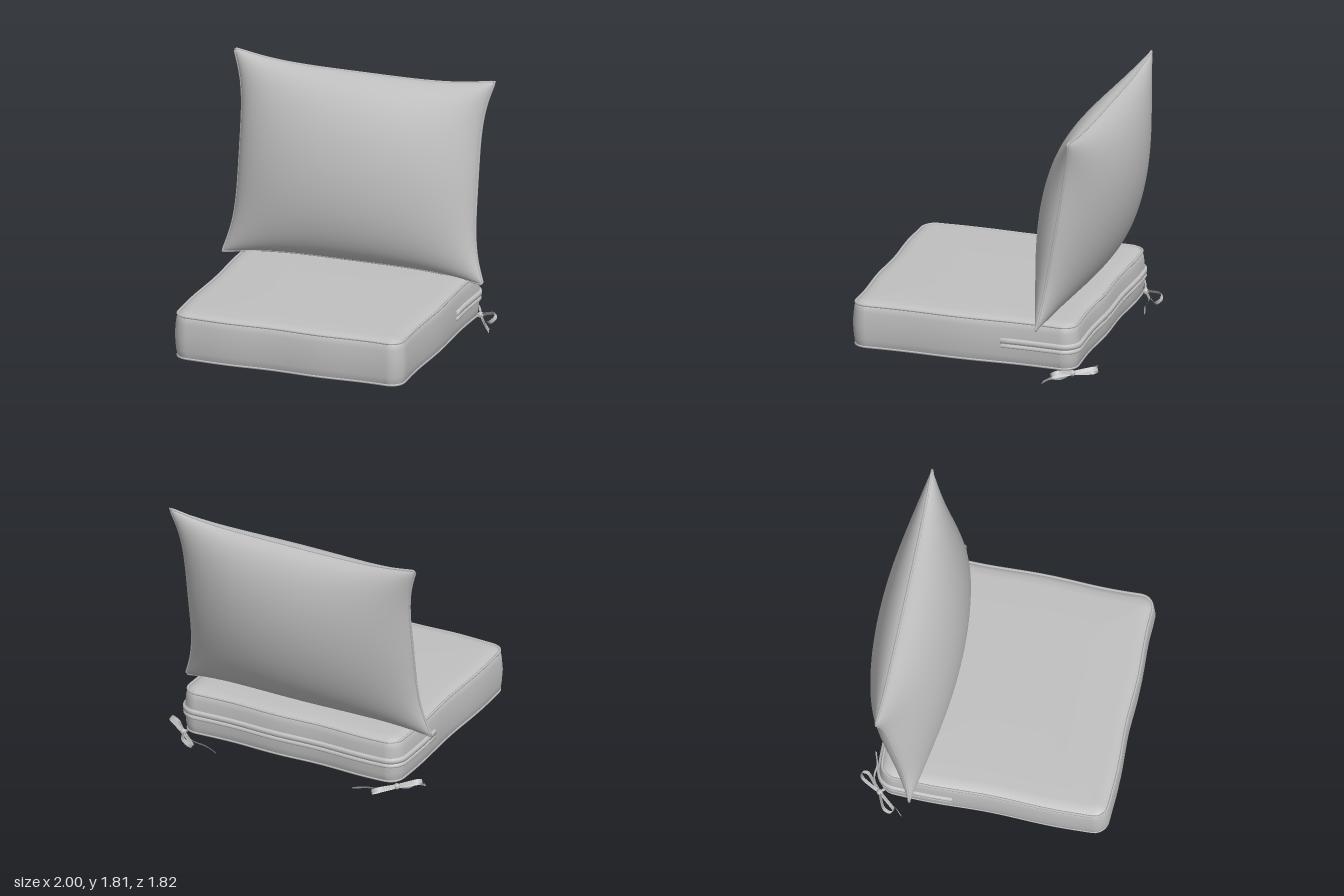
import * as THREE from 'three';
import { mergeVertices } from 'three/addons/utils/BufferGeometryUtils.js';

const fabric = new THREE.MeshStandardMaterial({ color: 0xc0c0c0, side: THREE.DoubleSide });
fabric.name = 'grey fabric';

function mesh(name, geometry) {
  const m = new THREE.Mesh(geometry, fabric);
  m.name = name;
  return m;
}

// Smooth surface from a grid of points fn(i, j)
function surface(nu, nv, fn) {
  const pos = [], index = [];
  for (let i = 0; i <= nu; i++) for (let j = 0; j <= nv; j++) pos.push(...fn(i, j));
  for (let i = 0; i < nu; i++) for (let j = 0; j < nv; j++) {
    const a = i * (nv + 1) + j, b = a + nv + 1;
    index.push(a, b, a + 1, b, b + 1, a + 1);
  }
  let g = new THREE.BufferGeometry();
  g.setAttribute('position', new THREE.Float32BufferAttribute(pos, 3));
  g.setIndex(index);
  g = mergeVertices(g, 1e-5);
  g.computeVertexNormals();
  return g;
}

function piping(name, points, radius) {
  const curve = new THREE.CatmullRomCurve3(points.map(p => new THREE.Vector3(...p)), true);
  return mesh(name, new THREE.TubeGeometry(curve, 240, radius, 6, true));
}

// Rounded seat outline: each entry is x, z and the outward normal
const HX = 0.855, HZ = 0.82, CZ = 0.095, R = 0.11;
function seatOutline() {
  const arcs = [[1, 1], [-1, 1], [-1, -1], [1, -1]].map(([sx, sz], k) => {
    const arc = [];
    for (let i = 0; i <= 10; i++) {
      const a = (k + i / 10) * Math.PI / 2, c = Math.cos(a), s = Math.sin(a);
      arc.push([sx * (HX - R) + R * c, sz * (HZ - R) + R * s, c, s]);
    }
    return arc;
  });
  const out = [];
  arcs.forEach((arc, k) => {
    out.push(...arc);
    const a = arc[10], b = arcs[(k + 1) % 4][0];
    for (let i = 1; i < 16; i++) {
      const t = i / 16;
      out.push([a[0] + (b[0] - a[0]) * t, a[1] + (b[1] - a[1]) * t, a[2], a[3]]);
    }
  });
  return out;
}
const outline = seatOutline();

// Point on the seat, pushed out from the outline, with a slight sewn waviness
function seatPoint([x, z, nx, nz], out, y, scale = 1) {
  const d = out + 0.006 * Math.sin(9 * x + 7 * z);
  return [(x + nx * d) * scale, y, CZ + (z + nz * d) * scale];
}

function createSeat() {
  const seat = new THREE.Group();
  seat.name = 'seatCushion';
  // scale, inset, height
  const profile = [
    [0, 0.1, 0.02], [0.35, 0.1, 0.022], [0.7, 0.1, 0.03], [0.9, 0.1, 0.042], [1, 0.1, 0.058],
    [1, 0.05, 0.07], [1, 0.02, 0.08], [1, 0.008, 0.092], [1, 0, 0.14], [1, -0.008, 0.24],
    [1, 0, 0.34], [1, 0.008, 0.38], [1, 0.025, 0.397], [1, 0.05, 0.408], [1, 0.1, 0.416],
    [0.6, 0.1, 0.42], [0, 0.1, 0.42],
  ];
  const n = outline.length;
  seat.add(mesh('seatBody', surface(profile.length - 1, n, (i, j) =>
    seatPoint(outline[j % n], -profile[i][1], profile[i][2], profile[i][0]))));
  seat.add(piping('topPiping', outline.map(p => seatPoint(p, -0.012, 0.391)), 0.009));
  seat.add(piping('bottomPiping', outline.map(p => seatPoint(p, -0.012, 0.083)), 0.009));

  // Zip flap wrapped around the back, with a groove between its two lips
  const end = -0.19 - CZ;
  const path = [[-HX, end, -1, 0], ...outline.filter(p => p[1] < end), [HX, end, 1, 0]];
  path.unshift(path[0]);
  path.push(path[path.length - 1]);
  const section = [
    [-0.01, 0.198], [0.016, 0.202], [0.02, 0.21], [0.016, 0.222], [0.007, 0.226], [0.007, 0.23],
    [0.02, 0.235], [0.022, 0.25], [0.02, 0.268], [-0.01, 0.275],
  ];
  seat.add(mesh('zipFlap', surface(section.length - 1, path.length - 1, (i, j) => {
    const capped = j === 0 || j === path.length - 1;
    return seatPoint(path[j], capped ? -0.01 : section[i][0], section[i][1]);
  })));
  return seat;
}

function createPillow() {
  const pillow = new THREE.Group();
  pillow.name = 'backPillow';
  // Edges pull inwards between the flared, rounded corners
  const point = (u, v, side) => {
    const k = 1 - 0.03 * Math.abs(u * v) ** 12;
    const x = u * k * (0.885 + 0.115 * v ** 4);
    const y = v * k * (0.665 + 0.08 * u ** 4);
    const puff = Math.max(0, (1 - u * u) * (1 - v * v)) ** 0.54;
    return [x, y, side * 0.288 * puff];
  };
  const N = 40;
  const ease = i => Math.sin((i / N - 0.5) * Math.PI);
  pillow.add(mesh('pillowFront', surface(N, N, (i, j) => point(ease(i), ease(j), 1))));
  pillow.add(mesh('pillowBack', surface(N, N, (i, j) => point(-ease(i), ease(j), -1))));

  const seam = [];
  for (let side = 0; side < 4; side++) for (let i = 0; i < N; i++) {
    const t = ease(i);
    const [u, v] = [[t, -1], [1, t], [-t, 1], [-1, -t]][side];
    seam.push(point(u, v, 0));
  }
  pillow.add(piping('pillowPiping', seam, 0.009));
  pillow.position.set(-0.02, 1.095, -0.59);
  pillow.rotation.x = -0.166;
  return pillow;
}

// Flat strip of cloth following a curve
function ribbon(name, points, widthDir, width) {
  const curve = new THREE.CatmullRomCurve3(points);
  const w = widthDir.clone().normalize().multiplyScalar(width / 2);
  const N = 28;
  return mesh(name, surface(N, 1, (i, j) =>
    curve.getPoint(i / N).addScaledVector(w, j ? 1 : -1).toArray()));
}

function createBow(s) {
  const bow = new THREE.Group();
  bow.name = s > 0 ? 'leftTieBow' : 'rightTieBow';
  const V = (x, y, z) => new THREE.Vector3(s * x, y, z);
  const knot = V(0.845, 0.062, -0.71);

  const loop = (name, tip) => {
    const d = tip.clone().sub(knot);
    const p = new THREE.Vector3(-d.z, 0, d.x).normalize();
    if (p.x * s < 0) p.negate();
    p.y = 0.8;
    p.normalize();
    const at = (a, b) => knot.clone().addScaledVector(d, a).addScaledVector(p, b);
    const pts = [at(0, 0), at(0.4, 0.03), at(0.8, 0.045), at(1, 0.01),
      at(0.9, -0.035), at(0.45, -0.02), at(0, 0)];
    bow.add(ribbon(name, pts, new THREE.Vector3().crossVectors(d, p), 0.03));
  };
  loop('backLoop', V(0.72, 0.055, -0.855));
  loop('sideLoop', V(0.985, 0.085, -0.6));

  const up = new THREE.Vector3(0, 1, -0.6);
  bow.add(ribbon('innerTail', [knot, V(0.74, 0.045, -0.77), V(0.64, 0.03, -0.77), V(0.54, 0.015, -0.8)], up, 0.022));
  bow.add(ribbon('outerTail', [knot, V(0.89, 0.035, -0.65), V(0.93, 0.04, -0.58), V(0.975, 0.02, -0.53)], up, 0.03));
  bow.add(ribbon('tieStrap', [V(0.79, 0.08, -0.64), V(0.82, 0.07, -0.68), knot], up, 0.03));

  const ball = mesh('knot', new THREE.SphereGeometry(0.022, 12, 8));
  ball.position.copy(knot);
  bow.add(ball);
  return bow;
}

export function createModel() {
  const model = new THREE.Group();
  model.name = 'chairCushionSet';
  model.add(createSeat(), createPillow(), createBow(1), createBow(-1));
  return model;
}
